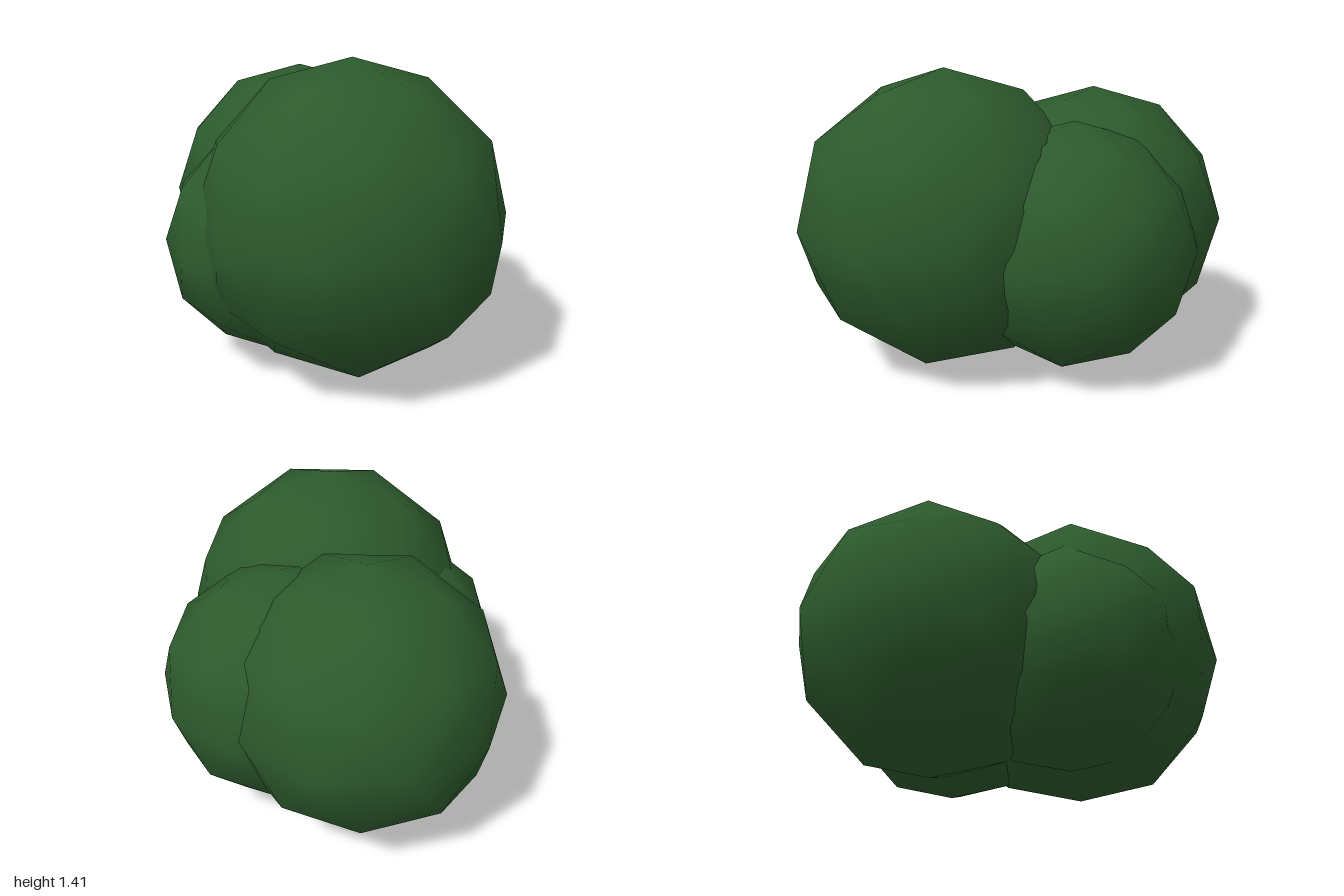
import * as THREE from 'three';

export function createModel() {
  const group = new THREE.Group();
  group.name = 'bush';
  const leafGreen = new THREE.MeshStandardMaterial({ color: 0x2d5a2d });
  leafGreen.name = 'leafGreen';

  // Smooth low-poly ball, turned so one corner points straight up
  const ball = new THREE.IcosahedronGeometry(1, 1);
  ball.rotateZ(-Math.atan(2 / (1 + Math.sqrt(5))));

  // Overlapping leaf clumps: name, radius, centre
  const clumps = [
    ['largeLeftClump', 0.704, 0.33, 0.706, 0.18],
    ['rightClump', 0.645, -0.387, 0.655, -0.095],
    ['backClump', 0.575, -0.033, 0.605, -0.312],
    ['frontClump', 0.525, 0.027, 0.57, 0.352],
  ];
  for (const [name, radius, x, y, z] of clumps) {
    const clump = new THREE.Mesh(ball, leafGreen);
    clump.name = name;
    clump.scale.setScalar(radius);
    clump.position.set(x, y, z);
    group.add(clump);
  }
  return group;
}
